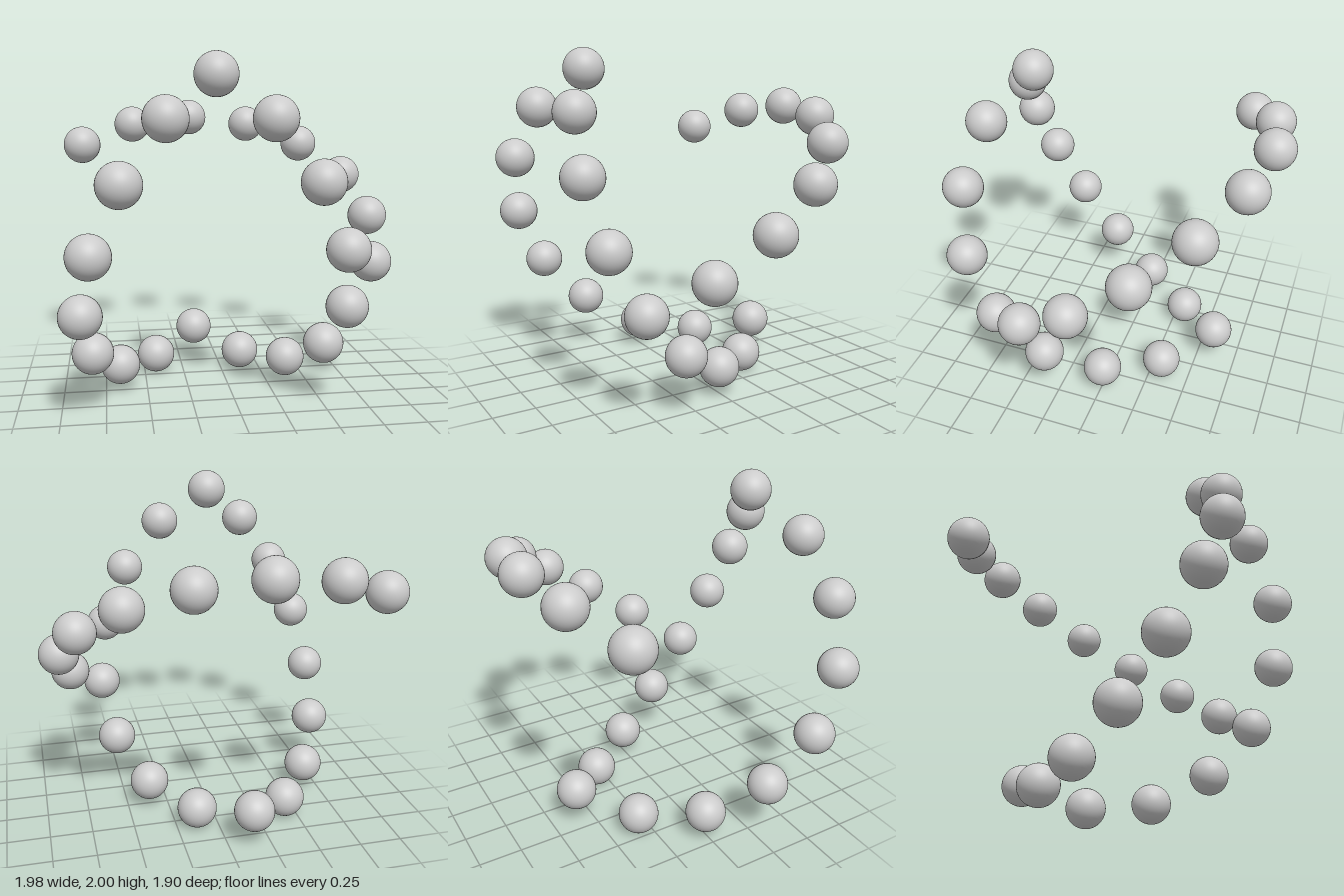
import * as THREE from 'three';

// 24 equal balls on three half circles that lie in perpendicular planes
// and share a centre; the axes stand on the cube's diagonal.
const RADIUS = 1.022, BALL = 0.118, STEPS = 8;
const CENTRE = new THREE.Vector3(-0.15, 1.048, 0);

export function createModel() {
  const group = new THREE.Group();
  group.name = 'ballArcs';
  const material = new THREE.MeshStandardMaterial({ color: 0xcccccc });
  const ball = new THREE.SphereGeometry(BALL, 40, 28);

  const a = new THREE.Vector3(0, -Math.sqrt(2 / 3), -Math.sqrt(1 / 3));
  const b = new THREE.Vector3(Math.SQRT1_2, -Math.sqrt(1 / 6), Math.sqrt(1 / 3));
  const c = new THREE.Vector3(-b.x, b.y, b.z);

  // half circle from start through middle to the opposite point
  function addArc(name, start, middle, first, last) {
    const arc = new THREE.Group();
    arc.name = name;
    for (let i = first; i <= last; i++) {
      const t = (i / STEPS) * Math.PI;
      const mesh = new THREE.Mesh(ball, material);
      mesh.name = 'ball';
      mesh.position.copy(CENTRE)
        .addScaledVector(start, RADIUS * Math.cos(t))
        .addScaledVector(middle, RADIUS * Math.sin(t));
      arc.add(mesh);
    }
    group.add(arc);
  }

  // shared balls are made only once
  addArc('leftArc', a, b, 0, STEPS);
  addArc('rightArc', a, c, 1, STEPS - 1);
  addArc('backArc', b, c.clone().negate(), 1, STEPS);
  return group;
}
